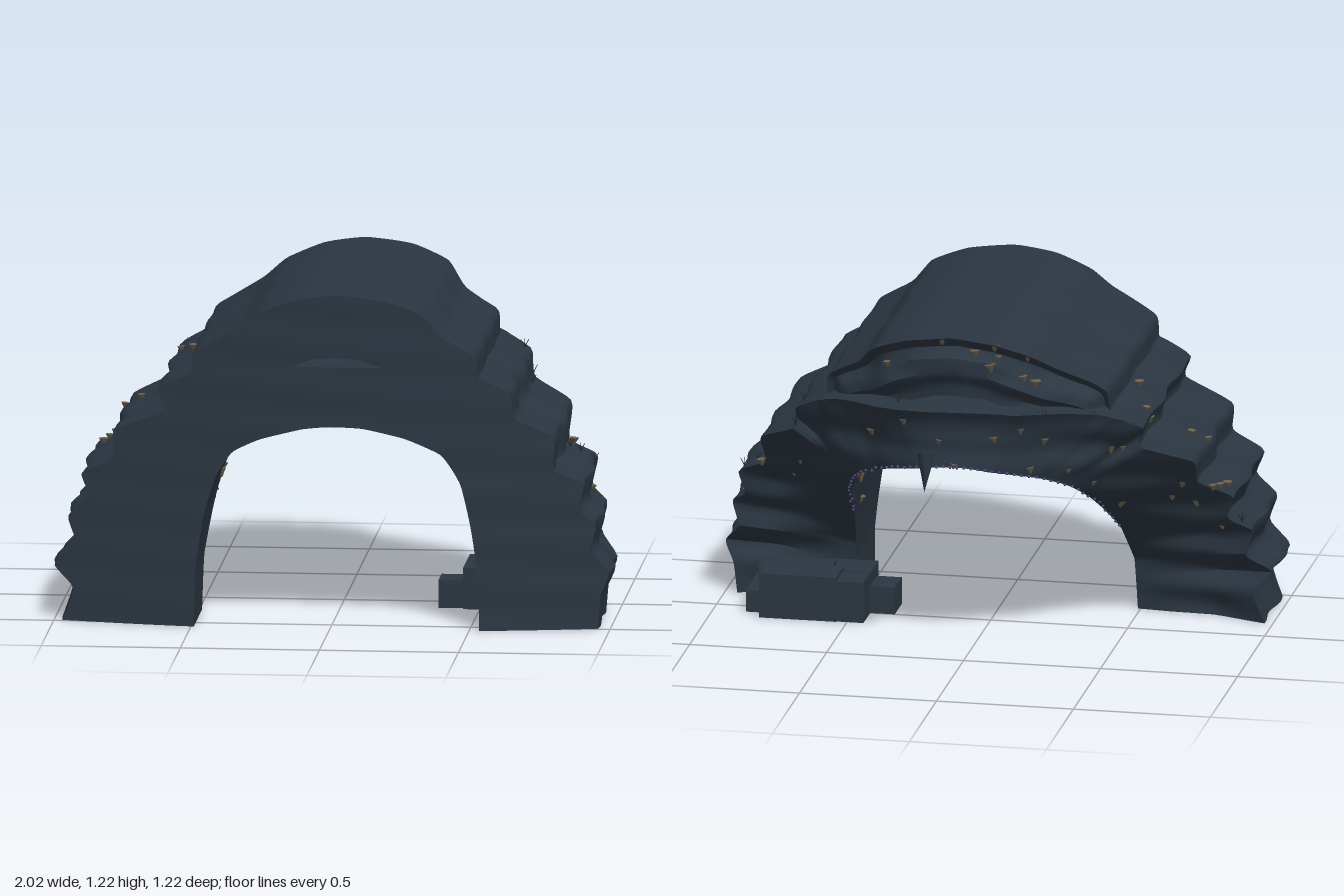
import * as THREE from 'three';
import { toCreasedNormals } from 'three/addons/utils/BufferGeometryUtils.js';

const rock = new THREE.MeshStandardMaterial({ color: 0x2b3641 });
const fungus = new THREE.MeshStandardMaterial({ color: 0x6f6250 });
const twigMat = new THREE.MeshStandardMaterial({ color: 0x25221f });
const violet = new THREE.MeshStandardMaterial({ color: 0x51457c });

let seed = 7;
const rand = () => (seed = (seed * 16807) % 2147483647) / 2147483647;

// piecewise linear lookup in [[key, value], ...]
function lookup(table, v) {
  if (v <= table[0][0]) return table[0][1];
  for (let i = 1; i < table.length; i++) {
    const [a, p] = table[i - 1], [b, q] = table[i];
    if (v <= b) return p + (q - p) * (v - a) / (b - a);
  }
  return table[table.length - 1][1];
}

const spaced = (pts, n) => new THREE.CatmullRomCurve3(
  pts.map(([x, y]) => new THREE.Vector3(x, y, 0)), false, 'catmullrom', 0.25).getSpacedPoints(n);

// profiles run from the +x foot over the crown to the -x foot
const rightFlank = [[0.955, 0], [0.965, 0.12], [0.995, 0.2], [0.93, 0.28], [0.95, 0.38], [0.89, 0.43], [0.905, 0.53],
  [0.8, 0.58], [0.8, 0.7], [0.66, 0.77], [0.645, 0.86], [0.53, 0.92]];
const leftFlank = [[-0.5, 0.92], [-0.62, 0.86], [-0.6, 0.78], [-0.78, 0.7], [-0.78, 0.6], [-0.9, 0.54],
  [-0.87, 0.45], [-0.95, 0.38], [-0.92, 0.28], [-1, 0.2], [-0.93, 0.12], [-0.97, 0]];
const lowerTop = [[0.4, 0.945], [0.2, 0.957], [0, 0.957], [-0.14, 0.957], [-0.35, 0.945]];
const vault = [[0.535, 0], [0.535, 0.15], [0.51, 0.35], [0.47, 0.53], [0.4, 0.64], [0.27, 0.7], [0.12, 0.735], [0, 0.74],
  [-0.1, 0.73], [-0.25, 0.69], [-0.35, 0.64], [-0.41, 0.55], [-0.455, 0.4], [-0.485, 0.2], [-0.49, 0]];
const capTop = [[0.54, 0.85], [0.53, 0.93], [0.52, 1], [0.4, 1.07], [0.33, 1.15], [0.2, 1.2], [0.03, 1.22],
  [-0.12, 1.2], [-0.25, 1.15], [-0.33, 1.09], [-0.49, 1], [-0.5, 0.93], [-0.51, 0.85]];
const capUnder = [[0.45, 0.85], [0.4, 0.9], [0.3, 0.92], [0.2, 0.955], [0.1, 0.985], [0.02, 0.992], [-0.07, 0.983],
  [-0.14, 0.955], [-0.28, 0.92], [-0.38, 0.9], [-0.42, 0.85]];

// where the rock ends at the back: flank, vault and cap by height, lip and cap underside by x
const flankBack = [[0, 0.15], [0.13, 0.13], [0.2, 0.14], [0.28, 0.05], [0.38, 0.04], [0.43, -0.03], [0.54, -0.08],
  [0.6, -0.12], [0.7, -0.2], [0.77, -0.3], [0.81, -0.28], [0.86, -0.34], [0.92, -0.4]];
const lipBack = [[-0.55, -0.39], [-0.48, -0.42], [-0.35, -0.5], [-0.2, -0.585], [0, -0.595], [0.12, -0.61], [0.22, -0.6],
  [0.32, -0.555], [0.47, -0.44], [0.55, -0.4]];
const vaultBack = [[0, 0.24], [0.2, 0.2], [0.35, 0.07], [0.47, -0.1], [0.6, -0.3], [0.68, -0.44], [0.73, -0.56]];
const capBack = [[0.83, -0.22], [0.86, -0.3], [0.93, -0.34], [1.03, -0.37], [1.1, -0.44], [1.15, -0.5], [1.21, -0.55]];
const capUnderBack = [[0, -0.51], [0.25, -0.46], [0.5, -0.32]];

// bulges and grooves of the back faces, from outer to inner edge
const lowerGroove = [[0, 0], [0.15, 0.012], [0.4, 0.035], [0.75, 0.01], [1, 0]];
const capGroove = [[0, 0], [0.2, 0.04], [0.35, -0.01], [0.6, -0.03], [0.8, 0.01], [1, 0]];

const lowerOuterZ = p => Math.abs(p.x) < 0.55 && p.y > 0.9 ? lookup(lipBack, p.x) : lookup(flankBack, p.y);
const frontZ = (x, y) => 0.609 - 0.13 * x * x + 0.002 * Math.sin(y * 38 + x * 3);

const DEPTH = 14, FACE = 12;

// one closed cross-section per station: outer skin, back face, inner skin, front face
function archLoops(outer, inner, n, outerZ, innerZ, groove, wobble) {
  const inn = spaced(inner, n);
  return spaced(outer, n).map((o, k) => {
    const i = inn[k], zo = outerZ(o), zi = innerZ(i), loop = [];
    const skin = (p, back, s, amp) => {
      const z = frontZ(p.x, p.y) * (1 - s) + back * s;
      const w = amp * Math.sin(Math.PI * s) * Math.sin(z * 17 + p.y * 9);
      loop.push(new THREE.Vector3(p.x + w * Math.sign(p.x) * Math.min(1, Math.abs(p.x) * 3), p.y, z));
    };
    for (let j = 0; j < DEPTH; j++) skin(o, zo, j / DEPTH, wobble);
    for (let j = 0; j < FACE; j++) {
      const s = j / FACE, p = o.clone().lerp(i, s);
      p.z = zo + (zi - zo) * s + lookup(groove, s) + 0.01 * Math.sin(Math.PI * s) * Math.sin(p.y * 42);
      loop.push(p);
    }
    for (let j = DEPTH; j > 0; j--) skin(i, zi, j / DEPTH, 0);
    for (let j = 0; j < FACE; j++) {
      const p = i.clone().lerp(o, j / FACE);
      p.z = frontZ(p.x, p.y);
      loop.push(p);
    }
    return loop;
  });
}

function skinLoops(loops) {
  const pos = [], idx = [], m = loops[0].length, last = loops.length - 1;
  loops.forEach(l => l.forEach(p => pos.push(p.x, p.y, p.z)));
  for (let k = 0; k < last; k++) for (let i = 0; i < m; i++) {
    const a = k * m + i, b = k * m + (i + 1) % m;
    idx.push(a, b, a + m, b, b + m, a + m);
  }
  // flat feet
  [0, last].forEach(k => {
    const c = loops[k].reduce((s, p) => s.add(p), new THREE.Vector3()).divideScalar(m), ci = pos.length / 3;
    pos.push(c.x, c.y, c.z);
    for (let i = 0; i < m; i++) {
      const a = k * m + i, b = k * m + (i + 1) % m;
      idx.push(ci, ...(k ? [a, b] : [b, a]));
    }
  });
  const g = new THREE.BufferGeometry();
  g.setAttribute('position', new THREE.Float32BufferAttribute(pos, 3));
  g.setIndex(idx);
  return toCreasedNormals(g, 0.7);
}

function add(parent, name, geometry, material, x = 0, y = 0, z = 0) {
  const mesh = new THREE.Mesh(geometry, material);
  mesh.name = name;
  mesh.position.set(x, y, z);
  parent.add(mesh);
  return mesh;
}

function addGroup(parent, name) {
  const group = new THREE.Group();
  group.name = name;
  parent.add(group);
  return group;
}

export function createModel() {
  const root = new THREE.Group();
  root.name = 'rockArch';

  // main arch and the cap above it, leaving a narrow slit at the crown
  const lower = archLoops([...rightFlank, ...lowerTop, ...leftFlank], vault, 170,
    lowerOuterZ, p => lookup(vaultBack, p.y), lowerGroove, 0.012);
  const cap = archLoops(capTop, capUnder, 80,
    p => lookup(capBack, p.y), p => lookup(capUnderBack, Math.abs(p.x)), capGroove, 0.006);
  add(root, 'mainArch', skinLoops(lower), rock);
  add(root, 'archCap', skinLoops(cap), rock);

  // stalactite under the back lip
  const spike = add(root, 'stalactite', new THREE.ConeGeometry(0.035, 0.14, 6), rock, 0.125, 0.72, -0.575);
  spike.rotation.x = Math.PI + 0.25;

  // fallen blocks behind the +x foot: [x from, x to, z from, z to, height]
  const blocks = [[0.54, 0.82, -0.13, 0.02, 0.165], [0.44, 0.6, -0.125, 0, 0.15], [0.35, 0.52, 0, 0.13, 0.1],
    [0.44, 0.6, 0.01, 0.15, 0.15], [0.58, 0.8, 0, 0.09, 0.165], [0.6, 0.86, 0.05, 0.14, 0.13], [0.78, 0.88, -0.07, 0.16, 0.08]];
  const rubble = addGroup(root, 'fallenBlocks');
  blocks.forEach(([x0, x1, z0, z1, h]) =>
    add(rubble, 'block', new THREE.BoxGeometry(x1 - x0, h, z1 - z0), rock, (x0 + x1) / 2, h / 2, (z0 + z1) / 2));

  // growth scattered over the flanks, back face and vault: [loops, from, to, count]
  const growth = addGroup(root, 'growth');
  const funnel = new THREE.CylinderGeometry(0.02, 0.004, 0.028, 7);
  const stem = new THREE.CylinderGeometry(0.001, 0.0015, 0.035, 4);
  const pick = (loops, from, to) => {
    const l = loops[Math.floor((0.14 + 0.72 * rand()) * loops.length)];
    return l[Math.floor(from + rand() * (to - from))];
  };
  const zones = [[lower, DEPTH - 6, DEPTH, 10], [lower, DEPTH, DEPTH + FACE, 20], [lower, DEPTH + FACE, DEPTH + FACE + 5, 12],
    [cap, DEPTH + 1, DEPTH + 6, 9]];
  zones.forEach(([loops, from, to, count]) => {
    for (let i = 0; i < count; i++) {
      const p = pick(loops, from, to);
      const f = add(growth, 'mushroom', funnel, fungus, p.x, p.y + 0.004, p.z);
      f.scale.setScalar(0.6 + 0.5 * rand());
      f.rotation.z = (rand() - 0.5) * 0.5;
    }
  });
  for (let i = 0; i < 14; i++) {
    const p = pick(lower, DEPTH - 2, DEPTH + 2);
    for (let j = -1; j < 2; j++) add(growth, 'twig', stem, twigMat, p.x + j * 0.006, p.y + 0.014, p.z).rotation.z = -j * 0.5;
  }

  // buds along the back edge of the vault
  const buds = addGroup(root, 'violetBuds');
  const bud = new THREE.IcosahedronGeometry(0.006, 0);
  for (let k = 30; k < 142; k += 2) {
    const p = lower[k][DEPTH + FACE - 1].clone().lerp(lower[k][DEPTH + FACE], 0.6 + 0.4 * rand());
    add(buds, 'bud', bud, violet, p.x, p.y, p.z - 0.003);
  }
  return root;
}
